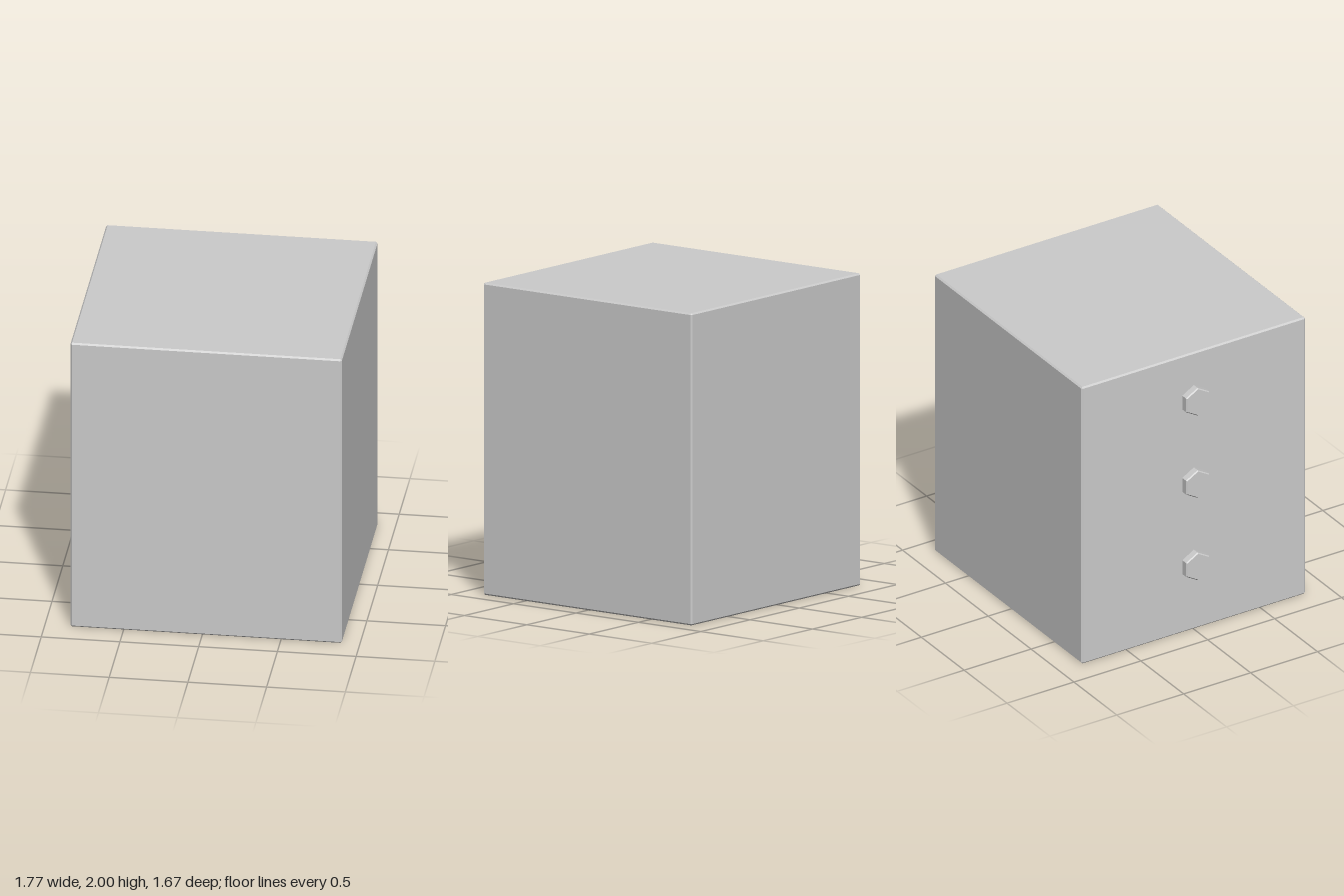
import * as THREE from 'three';
import { ConvexGeometry } from 'three/addons/geometries/ConvexGeometry.js';

const material = new THREE.MeshStandardMaterial({ color: 0xcccccc, flatShading: true });

// Box with a flat chamfer c on every edge
function chamferedBox(w, h, d, c) {
  const points = [];
  for (const sx of [-1, 1]) for (const sy of [-1, 1]) for (const sz of [-1, 1]) {
    for (let axis = 0; axis < 3; axis++) {
      const p = [w / 2 - c, h / 2 - c, d / 2 - c];
      p[axis] += c;
      points.push(new THREE.Vector3(sx * p[0], sy * p[1], sz * p[2]));
    }
  }
  return new ConvexGeometry(points);
}

// Hexagonal knob with a bevelled rim, its axis along -x, corners up and down
function knobGeometry(radius, depth, bevel) {
  const profile = [
    [0, -0.01], [radius, -0.01], [radius, depth - bevel], [radius - bevel, depth], [0, depth],
  ].map(([x, y]) => new THREE.Vector2(x, y));
  return new THREE.LatheGeometry(profile, 6, Math.PI / 2).rotateZ(Math.PI / 2);
}

export function createModel() {
  const group = new THREE.Group();
  group.name = 'cabinet';

  // Main body
  const left = -0.838, right = 0.886;
  const body = new THREE.Mesh(chamferedBox(right - left, 2, 1.672, 0.01), material);
  body.name = 'cabinetBody';
  body.position.set((left + right) / 2, 1, 0);
  group.add(body);

  // Column of three knobs on one side
  const knob = knobGeometry(0.1, 0.05, 0.007);
  [1.665, 1.07, 0.475].forEach((y, i) => {
    const mesh = new THREE.Mesh(knob, material);
    mesh.name = `knob${i + 1}`;
    mesh.position.set(left, y, 0);
    group.add(mesh);
  });

  return group;
}
